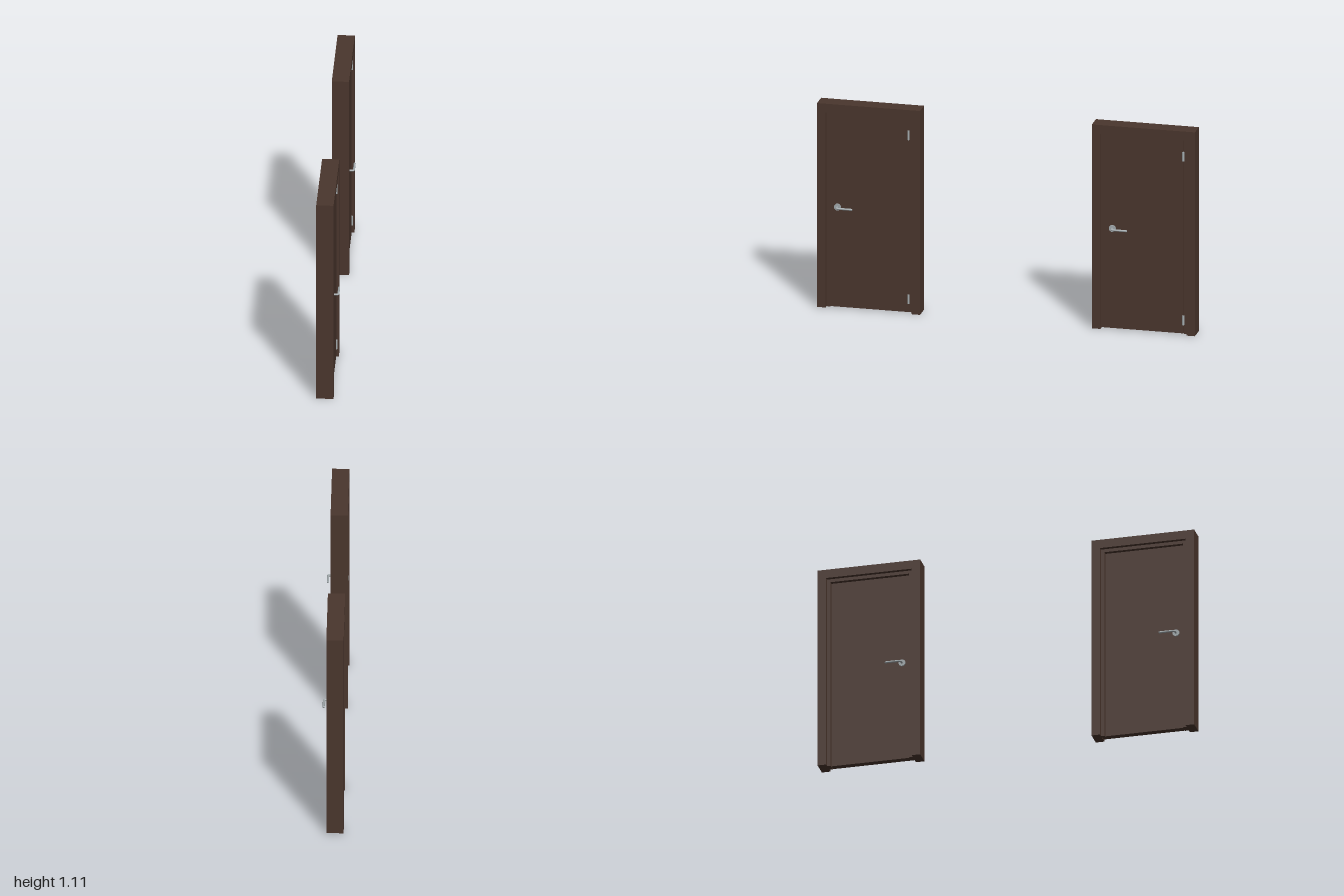
import * as THREE from 'three';

const WIDTH = 0.545, HEIGHT = 1.105, LEAF_FRONT = 0.018, LEAF_BACK = -0.017;
const wood = new THREE.MeshStandardMaterial({ color: 0x4a362d });
wood.name = 'dark brown wood';
const metal = new THREE.MeshStandardMaterial({ color: 0xa3abae });
metal.name = 'satin steel';

function add(group, name, geometry, material) {
  const mesh = new THREE.Mesh(geometry, material);
  mesh.name = name;
  group.add(mesh);
  return mesh;
}

// Box given by its limits; u runs across the door from the latch edge, towards -z
function slab(group, name, material, x0, x1, y0, y1, u0, u1) {
  const geometry = new THREE.BoxGeometry(x1 - x0, y1 - y0, u1 - u0);
  geometry.translate((x0 + x1) / 2, (y0 + y1) / 2, -(u0 + u1) / 2);
  return add(group, name, geometry, material);
}

// Door surround without a sill, extruded from x0 to x1
function surround(group, name, x0, x1, margin, side, head) {
  const l = margin, r = WIDTH - margin, top = HEIGHT - margin;
  const shape = new THREE.Shape([
    [l, 0], [l + side, 0], [l + side, top - head], [r - side, top - head],
    [r - side, 0], [r, 0], [r, top], [l, top],
  ].map(([x, y]) => new THREE.Vector2(x, y)));
  const geometry = new THREE.ExtrudeGeometry(shape, { depth: x1 - x0, bevelEnabled: false });
  geometry.rotateY(Math.PI / 2).translate(x0, 0, 0);
  add(group, name, geometry, wood);
}

// Rosette and lever on one face of the leaf
function handle(face, s) {
  const group = new THREE.Group();
  group.name = s > 0 ? 'frontHandle' : 'backHandle';
  const rosette = add(group, 'rosette', new THREE.CylinderGeometry(0.018, 0.018, 0.007, 24), metal);
  rosette.rotation.z = Math.PI / 2;
  rosette.position.x = s * 0.0035;
  const path = new THREE.CurvePath();
  const v = (x, z) => new THREE.Vector3(s * x, 0, z);
  path.add(new THREE.LineCurve3(v(0, 0), v(0.024, 0)));
  path.add(new THREE.QuadraticBezierCurve3(v(0.024, 0), v(0.031, 0), v(0.031, -0.008)));
  path.add(new THREE.LineCurve3(v(0.031, -0.008), v(0.031, -0.08)));
  add(group, 'lever', new THREE.TubeGeometry(path, 40, 0.0055, 10), metal);
  const tip = add(group, 'leverTip', new THREE.SphereGeometry(0.0055, 10, 8), metal);
  tip.position.copy(v(0.031, -0.08));
  group.position.set(face, 0.547, -0.106);
  return group;
}

function door(name, z, grooveAtLatch) {
  const group = new THREE.Group();
  group.name = name;
  group.position.z = z;

  // Frame with a stop behind the leaf
  surround(group, 'frame', -0.058, 0.031, 0, 0.045, 0.047);
  surround(group, 'doorStop', -0.038, LEAF_BACK, 0.04, 0.024, 0.024);

  // Leaf, with a recessed strip along one upright
  const u0 = grooveAtLatch ? 0.064 : 0.046, u1 = grooveAtLatch ? 0.499 : 0.481;
  slab(group, 'leaf', wood, LEAF_BACK, LEAF_FRONT, 0.006, 1.057, u0, u1);
  const strip = grooveAtLatch ? [0.044, u0] : [u1, 0.501];
  slab(group, 'rebateStrip', wood, LEAF_BACK, 0.008, 0, 1.057, ...strip);

  // Hinges
  for (const y of [0.077, 0.965]) {
    const hinge = add(group, 'hinge', new THREE.CylinderGeometry(0.006, 0.006, 0.05, 14), metal);
    hinge.position.set(LEAF_FRONT + 0.002, y, -0.481);
  }

  group.add(handle(LEAF_FRONT + 0.001, 1), handle(LEAF_BACK - 0.001, -1));
  return group;
}

export function createModel() {
  const model = new THREE.Group();
  model.name = 'pairOfDoors';
  model.add(door('frontDoor', 1, true), door('rearDoor', -0.455, false));
  return model;
}
